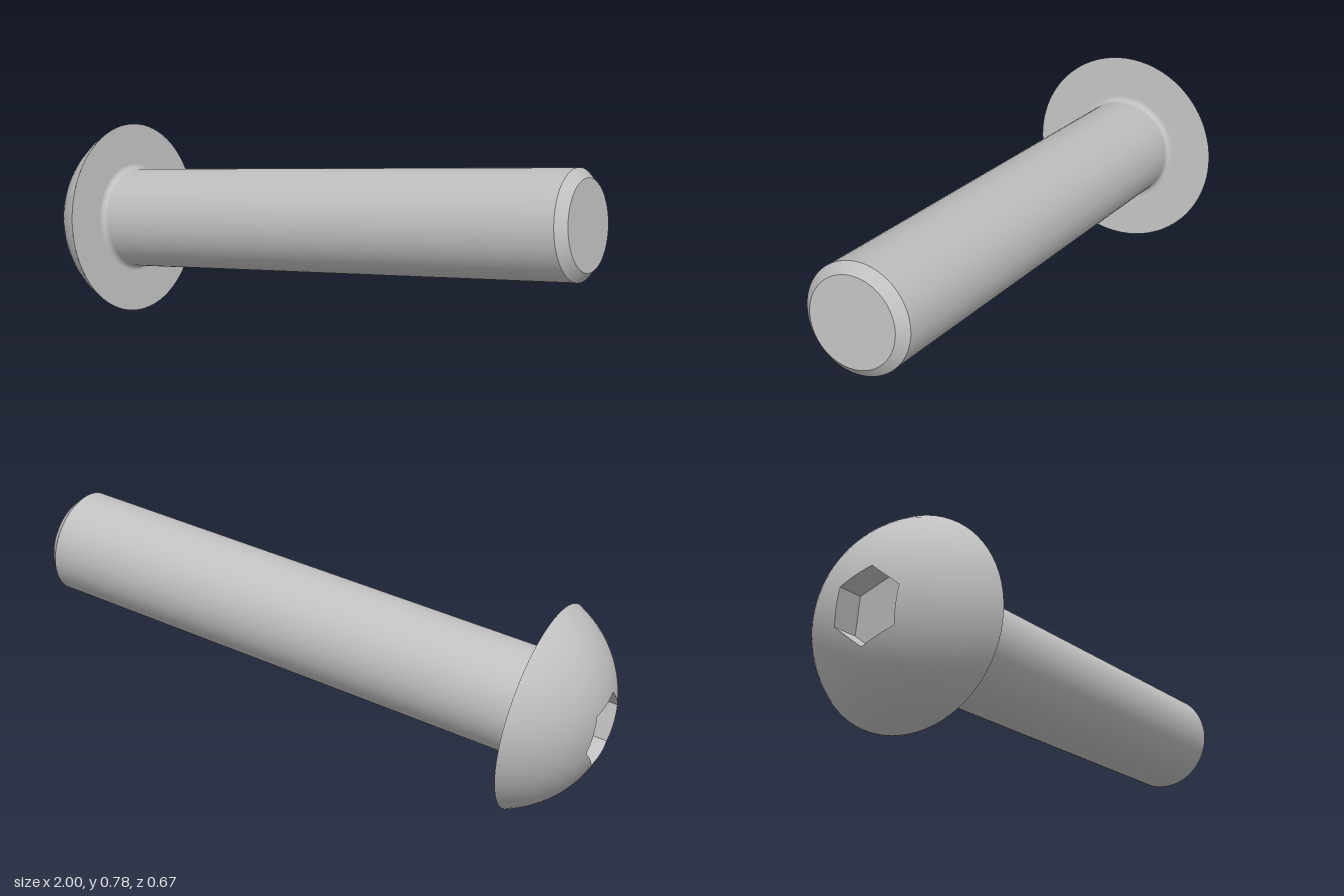
import * as THREE from 'three';

const SEG = 72;
const HEAD_R = 0.338, HEAD_H = 0.22, SHAFT_R = 0.175, TIP_R = 0.144, LENGTH = 1.781;
const CHAMFER = 0.031, FILLET = 0.018;
const HEX_R = 0.121, HEX_TURN = -0.21, SOCKET_Y = -0.1;

// Sphere that the domed head is cut from
const SPHERE_R = (HEAD_R ** 2 + HEAD_H ** 2) / (2 * HEAD_H);
const SPHERE_Y = SPHERE_R - HEAD_H;
const domeY = (r) => SPHERE_Y - Math.sqrt(SPHERE_R ** 2 - r * r);

// Radius of the hexagon at turn u (0..1)
function hexRadius(u) {
  const side = Math.PI / 3;
  const a = (u * Math.PI * 2 + 1e-6) % side;
  return HEX_R * Math.cos(side / 2) / Math.cos(a - side / 2);
}

// Grid wrapped round the axis; rule(u, v) gives [radius, y]
function wrap(rows, rule) {
  const geo = new THREE.PlaneGeometry(1, 1, SEG, rows);
  const { position, uv } = geo.attributes;
  for (let i = 0; i < position.count; i++) {
    const u = uv.getX(i);
    const [r, y] = rule(u, 1 - uv.getY(i));
    const phi = u * Math.PI * 2 + HEX_TURN;
    position.setXYZ(i, r * Math.cos(phi), y, r * Math.sin(phi));
  }
  return geo;
}

function lathe(points) {
  return new THREE.LatheGeometry(points.map(([x, y]) => new THREE.Vector2(x, y)), SEG);
}

export function createModel() {
  const steel = new THREE.MeshStandardMaterial({ color: 0xc0c0c0 });
  steel.name = 'steel grey';
  const screw = new THREE.Group();
  screw.name = 'screw';
  const add = (name, geo) => {
    const mesh = new THREE.Mesh(geo, steel);
    mesh.name = name;
    screw.add(mesh);
    return mesh;
  };

  // Domed head with a hexagonal opening, shaded as a true sphere
  const dome = wrap(12, (u, v) => {
    const r = THREE.MathUtils.lerp(hexRadius(u), HEAD_R, v);
    return [r, domeY(r)];
  });
  const { position, normal } = dome.attributes;
  for (let i = 0; i < position.count; i++) {
    normal.setXYZ(i, position.getX(i) / SPHERE_R, (position.getY(i) - SPHERE_Y) / SPHERE_R, position.getZ(i) / SPHERE_R);
  }
  add('headDome', dome);

  // Hexagonal socket: flat walls and floor
  const walls = wrap(1, (u, v) => {
    const r = hexRadius(u);
    return [r, v < 0.5 ? SOCKET_Y : domeY(r)];
  }).toNonIndexed();
  walls.computeVertexNormals();
  add('socketWalls', walls);
  const floor = add('socketFloor', new THREE.CircleGeometry(HEX_R, 6, HEX_TURN).rotateX(Math.PI / 2));
  floor.position.y = SOCKET_Y;

  // Underside of the head
  add('headUnderside', lathe([[HEAD_R, 0], [SHAFT_R + FILLET, 0]]));

  // Small fillet running into the shaft
  const fillet = [];
  for (let i = 0; i <= 6; i++) {
    const a = (i / 6) * Math.PI / 2;
    fillet.push([SHAFT_R + FILLET * (1 - Math.sin(a)), FILLET * (1 - Math.cos(a))]);
  }
  add('shaftFillet', lathe(fillet));
  add('shaft', lathe([[SHAFT_R, FILLET], [SHAFT_R, LENGTH - CHAMFER]]));

  // Chamfered tip
  add('tipChamfer', lathe([[SHAFT_R, LENGTH - CHAMFER], [TIP_R, LENGTH]]));
  add('tipFace', lathe([[TIP_R, LENGTH], [0, LENGTH]]));

  // Lay the screw on its tilted axis
  const axis = new THREE.Vector3(1.753, 0.274, -0.154).normalize();
  const up = new THREE.Vector3(0, 1, 0).addScaledVector(axis, -axis.y).normalize();
  const side = new THREE.Vector3().crossVectors(up, axis);
  screw.quaternion.setFromRotationMatrix(new THREE.Matrix4().makeBasis(up, axis, side));
  screw.position.set(-0.778, 0.334, 0);

  const model = new THREE.Group();
  model.name = 'buttonHeadScrew';
  model.add(screw);
  return model;
}
